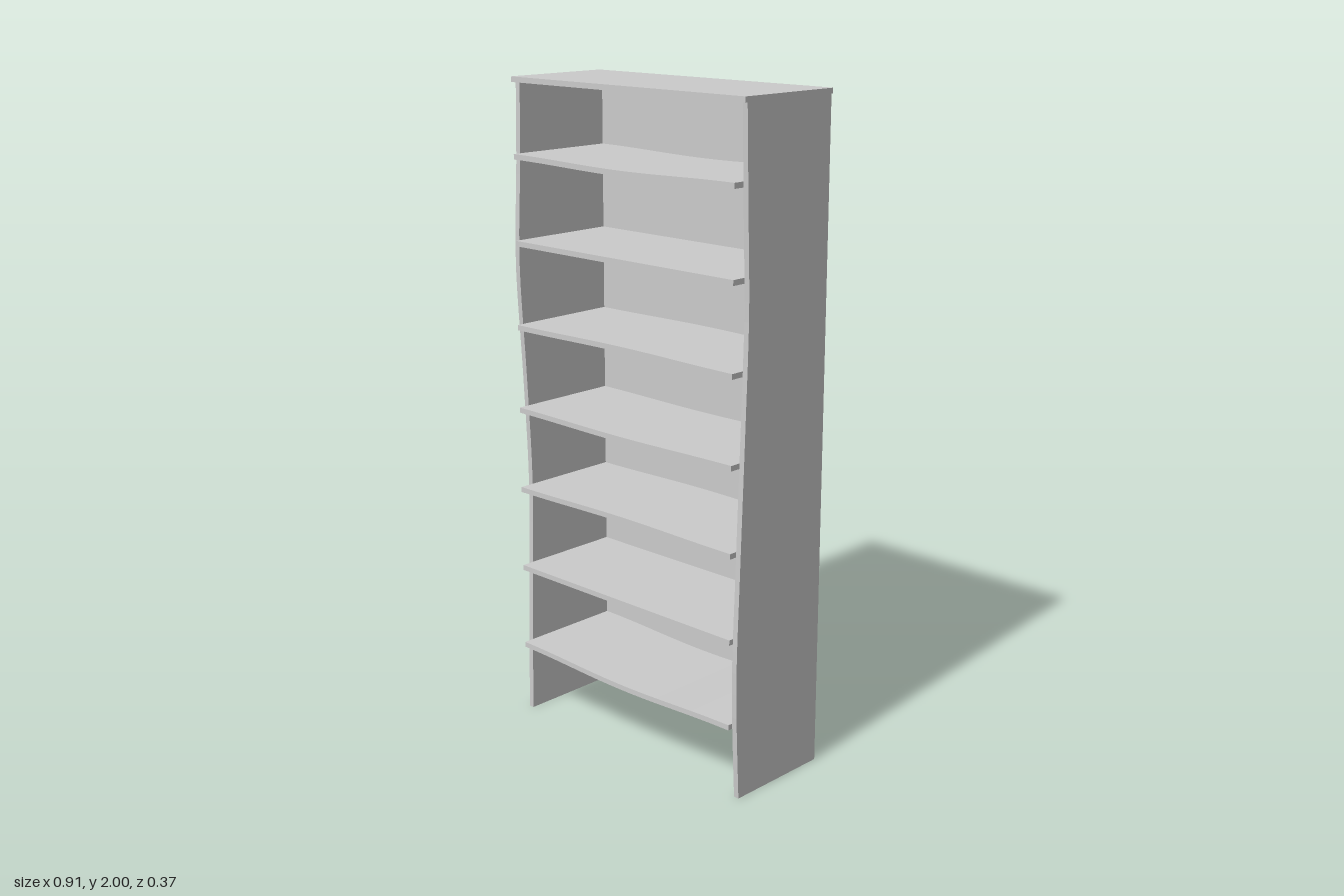
import * as THREE from 'three';

const material = new THREE.MeshStandardMaterial({ color: 0xcccccc, flatShading: true });
const BACK = -0.187, PANEL = 0.01, HEIGHT = 2, TOP = 0.016;

function addBox(group, name, [x0, x1], [y0, y1], [z0, z1]) {
  const mesh = new THREE.Mesh(new THREE.BoxGeometry(x1 - x0, y1 - y0, z1 - z0), material);
  mesh.position.set((x0 + x1) / 2, (y0 + y1) / 2, (z0 + z1) / 2);
  mesh.name = name;
  group.add(mesh);
}

// Upright board with a wavy front edge; edge lists [y, z] from floor to top
function addSide(group, name, x, width, edge) {
  const curve = new THREE.SplineCurve(edge.map(([y, z]) => new THREE.Vector2(-z, y)));
  const back = -(BACK + PANEL);
  const shape = new THREE.Shape([
    new THREE.Vector2(back, HEIGHT - TOP),
    new THREE.Vector2(back, 0),
    ...curve.getPoints(32),
  ].reverse());
  const geometry = new THREE.ExtrudeGeometry(shape, { depth: width, bevelEnabled: false });
  geometry.rotateY(Math.PI / 2); // shape x becomes -z, extrusion runs along +x
  const mesh = new THREE.Mesh(geometry, material);
  mesh.position.x = x;
  mesh.name = name;
  group.add(mesh);
}

// Shelf board bowed up or down along its length
function addShelf(group, name, y, bow) {
  const half = 0.433, z0 = BACK + PANEL, z1 = 0.186;
  const geometry = new THREE.BoxGeometry(half * 2, 0.016, z1 - z0, 24, 1, 1);
  const p = geometry.attributes.position;
  for (let i = 0; i < p.count; i++) {
    p.setY(i, p.getY(i) + bow * Math.cos((p.getX(i) / half) * Math.PI / 2) ** 2);
  }
  geometry.computeVertexNormals();
  const mesh = new THREE.Mesh(geometry, material);
  mesh.position.set(0, y, (z0 + z1) / 2);
  mesh.name = name;
  group.add(mesh);
}

export function createModel() {
  const group = new THREE.Group();
  group.name = 'bookcase';

  addBox(group, 'topBoard', [-0.455, 0.455], [HEIGHT - TOP, HEIGHT], [BACK, 0.171]);
  addBox(group, 'backPanel', [-0.45, 0.45], [0, HEIGHT - TOP], [BACK, BACK + PANEL]);

  // The two sides have different waves
  addSide(group, 'leftSide', 0.433, 0.017, [
    [0, 0.158], [0.35, 0.173], [0.7, 0.163], [1.1, 0.149], [1.42, 0.14], [1.7, 0.148], [HEIGHT - TOP, 0.157],
  ]);
  addSide(group, 'rightSide', -0.45, 0.017, [
    [0, 0.158], [0.35, 0.15], [0.75, 0.14], [1.1, 0.154], [1.45, 0.173], [1.75, 0.162], [HEIGHT - TOP, 0.157],
  ]);

  // Shelves: [height, bow at the middle]
  const shelves = [
    [0.227, -0.012], [0.487, 0], [0.744, 0.006], [0.999, -0.005],
    [1.257, 0.005], [1.513, 0], [1.77, -0.008],
  ];
  shelves.forEach(([y, bow], i) => addShelf(group, `shelf${i + 1}`, y, bow));

  return group;
}
